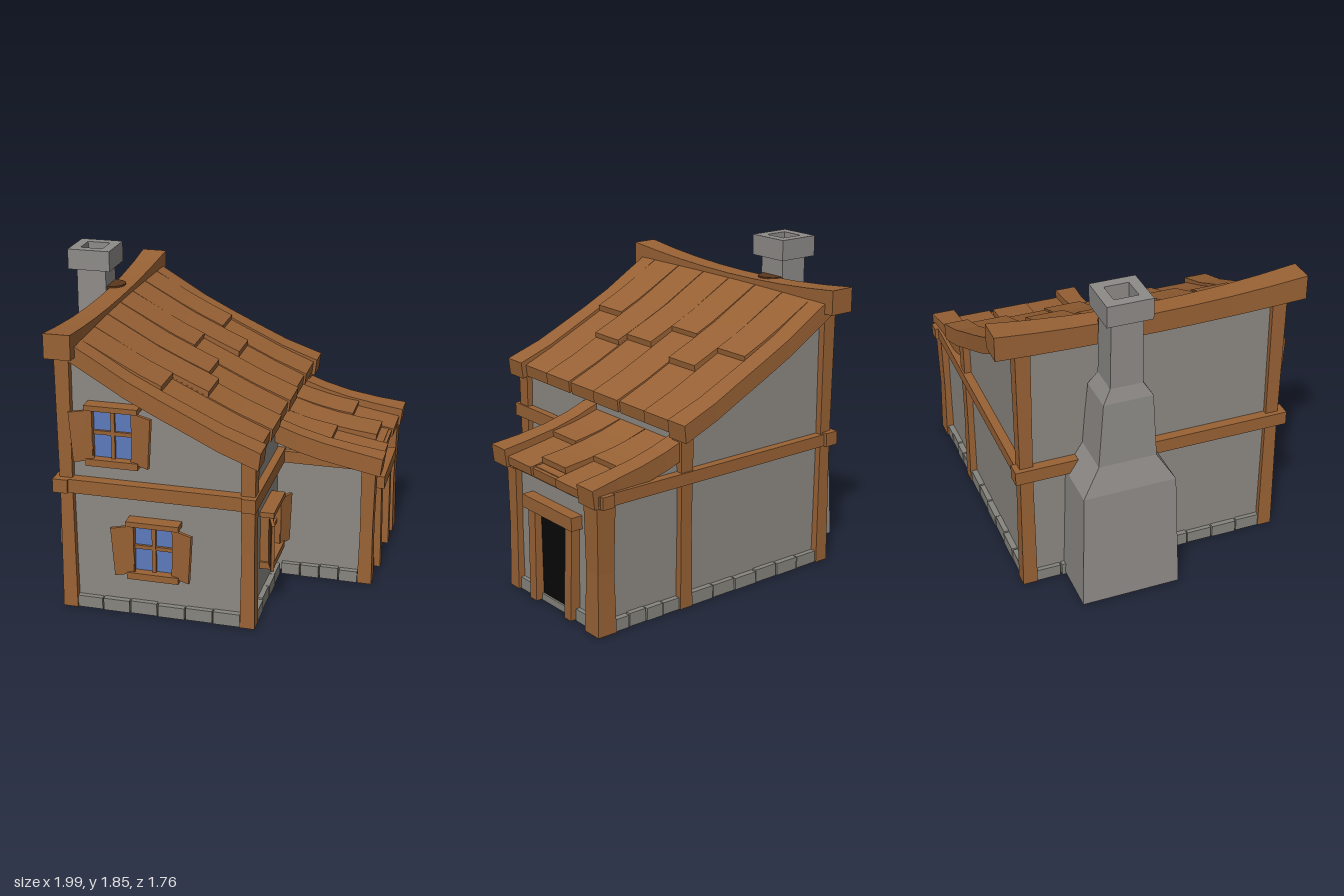
import * as THREE from 'three';

const mat = (name, color) => {
  const m = new THREE.MeshStandardMaterial({ color, flatShading: true, side: THREE.DoubleSide });
  m.name = name;
  return m;
};

export function createModel() {
  const wood = mat('wood', 0x996235), darkWood = mat('dark wood', 0x5a371b), plaster = mat('plaster', 0x8d8882);
  const chimneyStone = mat('chimney stone', 0x8e8b88), stone = mat('foundation stone', 0x86847e);
  const glass = mat('window glass', 0x5c7bbc), dark = mat('dark opening', 0x080808);
  const house = new THREE.Group();
  house.name = 'cottage';

  const add = (name, geometry, material, parent = house) => {
    const mesh = new THREE.Mesh(geometry, material);
    mesh.name = name;
    parent.add(mesh);
    return mesh;
  };
  // box given by its limits
  const box = (name, [x0, x1], [y0, y1], [z0, z1], material, parent) => {
    const g = new THREE.BoxGeometry(x1 - x0, y1 - y0, z1 - z0);
    g.translate((x0 + x1) / 2, (y0 + y1) / 2, (z0 + z1) / 2);
    return add(name, g, material, parent);
  };
  // four-cornered cross-sections joined into a closed solid
  const loft = (rings) => {
    const idx = [], t = (rings.length - 1) * 4;
    for (let s = 0; s < t; s += 4) {
      for (let i = 0; i < 4; i++) {
        const a = s + i, b = s + (i + 1) % 4;
        idx.push(a, b, b + 4, a, b + 4, a + 4);
      }
    }
    idx.push(0, 2, 1, 0, 3, 2, t, t + 1, t + 2, t, t + 2, t + 3);
    const g = new THREE.BufferGeometry();
    g.setAttribute('position', new THREE.Float32BufferAttribute(rings.flat(2), 3));
    g.setIndex(idx);
    const flat = g.toNonIndexed();
    flat.computeVertexNormals();
    return flat;
  };
  // upright solid from level sections [y, x0, x1, z0, z1]
  const upright = (sections) => loft(sections.map(([y, x0, x1, z0, z1]) => [[x0, y, z1], [x1, y, z1], [x1, y, z0], [x0, y, z0]]));
  // curved board: top profile in x/y, thickness down, span in z, optional flare of either edge at the eave
  const board = (name, pts, thick, z0, z1, material, parent, flare0 = 0, flare1 = 0) => add(name, loft(pts.map(([x, y], i) => {
    const t = (i / (pts.length - 1)) ** 4, a = z0 - flare0 * t, b = z1 + flare1 * t, xu = x - thick * 0.12;
    return [[xu, y - thick, b], [xu, y - thick, a], [x, y, a], [x, y, b]];
  })), material, parent);
  const polygon = (pts) => new THREE.Shape(pts.map(([x, y]) => new THREE.Vector2(x, y)));

  // plaster walls
  const mainTop = [[-0.62, 1.61], [-0.45, 1.51], [-0.3, 1.42], [-0.12, 1.33], [0.05, 1.25], [0.22, 1.17], [0.44, 1.09]];
  const porchTop = [[0.36, 0.985], [0.5, 0.935], [0.65, 0.895], [0.82, 0.865], [0.99, 0.84]];
  const wall = (name, pts, z) => add(name, new THREE.ShapeGeometry(polygon(pts)), plaster).position.set(0, 0, z);
  const gable = [[-0.68, 0.02], [0.36, 0.02], [0.36, 1.05], [0.22, 1.11], [0.05, 1.19], [-0.12, 1.27], [-0.3, 1.36], [-0.45, 1.45], [-0.62, 1.55], [-0.68, 1.57]];
  const lowGable = [[0.36, 0.02], [0.9, 0.02], [0.9, 0.78], [0.65, 0.82], [0.36, 0.91]];
  wall('frontGable', gable, 0.73);
  wall('backGable', gable, -0.73);
  wall('porchFrontWall', lowGable, 0.05);
  wall('porchBackWall', lowGable, -0.73);
  const sideWall = (name, x, h, z0, z1) => {
    const g = new THREE.PlaneGeometry(z1 - z0, h - 0.02).rotateY(x < 0 ? -Math.PI / 2 : Math.PI / 2);
    g.translate(x, (h + 0.02) / 2, (z0 + z1) / 2);
    add(name, g, plaster);
  };
  sideWall('mainLeftWall', -0.68, 1.57, -0.73, 0.73);
  sideWall('mainRightWall', 0.365, 1.05, -0.73, 0.73);
  sideWall('porchRightWall', 0.9, 0.78, -0.73, 0.05);

  // timber posts, slightly waisted
  const post = (x, z, h, w = 0.042) => {
    const s = [[0.01, w], [h * 0.45, w * 0.87], [h, w]].map(([y, r]) => [y, x - r, x + r, z - r, z + r]);
    add('cornerPost', upright(s), wood);
  };
  for (const z of [0.73, -0.73]) {
    post(-0.67, z, 1.56);
    post(0.36, z, 1.05);
  }
  post(0.9, 0.045, 0.8);
  post(0.9, -0.715, 0.8, 0.06);

  // timber beams
  box('frontBeam', [-0.735, 0.4], [0.73, 0.81], [0.71, 0.795], wood);
  box('backBeam', [-0.735, 0.95], [0.73, 0.8], [-0.78, -0.7], wood);
  box('leftBeam', [-0.735, -0.65], [0.73, 0.81], [-0.8, 0.81], wood);
  box('rightBeam', [0.33, 0.41], [0.73, 0.81], [0.05, 0.81], wood);
  box('porchFrontBeam', [0.36, 0.95], [0.73, 0.8], [0.01, 0.085], wood);
  box('porchRightBeam', [0.865, 0.94], [0.73, 0.8], [-0.8, 0.1], wood);

  // foundation stones in rows along x or z
  const stones = (alongX, from, to, across, n) => {
    const step = (to - from) / n;
    for (let i = 0; i < n; i++) {
      const run = [from + i * step + 0.004, from + (i + 1) * step - 0.004];
      const out = 0.035 + (i % 2) * 0.004;
      const side = [across - out, across + out];
      box('foundationStone', alongX ? run : side, [0.008, 0.078 + (i % 3) * 0.003], alongX ? side : run, stone);
    }
  };
  stones(true, -0.64, 0.32, 0.725, 6);
  stones(true, -0.64, 0.32, -0.725, 6);
  stones(true, 0.4, 0.86, 0.045, 4);
  stones(true, 0.4, 0.86, -0.725, 4);
  stones(false, -0.7, 0.7, -0.67, 9);
  stones(false, 0.08, 0.7, 0.36, 4);
  stones(false, -0.66, -0.52, 0.89, 1);
  stones(false, -0.13, 0.01, 0.89, 1);

  // roof planks: lower plank plus an overlapping raised upper plank in each column
  const heightAt = (pts, x) => {
    let i = 1;
    while (i < pts.length - 1 && pts[i][0] < x) i++;
    const [a, b] = [pts[i - 1], pts[i]];
    return a[1] + (b[1] - a[1]) * (x - a[0]) / (b[0] - a[0]);
  };
  const planks = (name, profile, z0, z1, splits, drop, thick) => {
    const group = new THREE.Group();
    group.name = name;
    house.add(group);
    const w = (z1 - z0) / splits.length;
    // dark lining seen in the joints
    board('roofLining', profile.map(([x, y]) => [x - 0.04, y - drop - thick * 0.25]), 0.008, z0, z1, dark, group);
    splits.forEach((split, i) => {
      const a = z0 + i * w, end = (i % 2) * 0.012;
      const low = profile.map(([x, y], k) => [k === profile.length - 1 ? x - 0.02 - end : x, y - drop - (i % 2) * 0.006]);
      board('lowerPlank', low, thick, a + 0.002, a + w - 0.002, wood, group);
      const x0 = profile[0][0], up = [];
      for (let k = 0; k <= 4; k++) {
        const x = x0 + (split - x0) * k / 4;
        up.push([x, heightAt(profile, x) - drop + 0.008 + 0.024 * k / 4]);
      }
      board('upperPlank', up, 0.035, a + 0.003, a + w - 0.003, wood, group);
    });
  };
  planks('mainRoof', mainTop, -0.7, 0.69, [-0.1, 0.06, -0.15, 0.0, 0.06, -0.14], 0.012, 0.07);
  planks('porchRoof', porchTop, -0.64, 0.035, [0.72, 0.9, 0.67], 0.042, 0.05);

  // bargeboards, flared at the eaves
  board('frontBargeboard', mainTop, 0.1, 0.69, 0.81, wood, house, 0, 0.02);
  board('backBargeboard', mainTop, 0.1, -0.82, -0.7, wood, house, 0.022, 0);
  board('porchFrontBargeboard', porchTop, 0.105, 0.035, 0.14, wood, house, 0, 0.025);
  board('porchBackBargeboard', porchTop, 0.105, -0.755, -0.64, wood, house, 0.025, 0);

  // sagging ridge beam
  const ridge = new THREE.BoxGeometry(0.15, 0.14, 1.76, 1, 1, 8);
  const rp = ridge.attributes.position;
  for (let i = 0; i < rp.count; i++) {
    const t = (rp.getZ(i) / 0.88) ** 2;
    rp.setXYZ(i, rp.getX(i) * (0.8 + 0.2 * t) - 0.65, rp.getY(i) * (0.85 + 0.15 * t) + 1.558 + 0.042 * t, rp.getZ(i));
  }
  ridge.computeVertexNormals();
  add('ridgeBeam', ridge, wood);

  // chimney and its collar at the ridge
  add('chimneyStack', upright([
    [0.02, -1, -0.66, -0.52, 0.05], [0.72, -0.97, -0.66, -0.5, 0.03], [0.88, -0.93, -0.67, -0.4, -0.07],
    [1.26, -0.92, -0.69, -0.37, -0.09], [1.34, -0.9, -0.72, -0.325, -0.14], [1.76, -0.9, -0.725, -0.32, -0.145]]), chimneyStone);
  const square = (r) => polygon([[-r, -r], [r, -r], [r, r], [-r, r]]);
  const capShape = square(0.127);
  capShape.holes.push(square(0.068));
  const cap = new THREE.ExtrudeGeometry(capShape, { depth: 0.12, bevelEnabled: false });
  cap.rotateX(-Math.PI / 2).translate(-0.813, 1.735, -0.232);
  add('chimneyCap', cap, chimneyStone);
  box('flueOpening', [-0.881, -0.745], [1.762, 1.768], [-0.3, -0.164], dark);
  add('chimneyCollar', new THREE.CylinderGeometry(0.078, 0.078, 0.13, 12).translate(-0.712, 1.565, -0.24), darkWood);

  // windows with angled shutters, built facing +z on the wall plane
  const makeWindow = (x, y, z, turn, backMaterial) => {
    const w = new THREE.Group();
    w.name = 'window';
    box('windowBacking', [-0.12, 0.12], [-0.15, 0.15], [-0.02, -0.012], dark, w);
    box('windowGlass', [-0.12, 0.12], [-0.15, 0.15], [0.02, 0.028], glass, w);
    box('windowSill', [-0.148, 0.148], [-0.175, -0.135], [0, 0.08], wood, w);
    box('windowHeader', [-0.15, 0.15], [0.145, 0.175], [0, 0.08], wood, w);
    box('mullion', [-0.011, 0.011], [-0.14, 0.15], [0.02, 0.045], wood, w);
    box('glazingBar', [-0.12, 0.12], [0, 0.022], [0.02, 0.043], wood, w);
    for (const s of [-1, 1]) {
      box('windowJamb', s < 0 ? [-0.135, -0.11] : [0.11, 0.135], [-0.14, 0.15], [0, 0.065], wood, w);
      const shutter = new THREE.Group();
      shutter.name = 'shutter';
      box('shutterPanel', s < 0 ? [-0.115, 0] : [0, 0.115], [-0.145, 0.145], [0, 0.018], wood, shutter);
      box('shutterBack', s < 0 ? [-0.105, -0.01] : [0.01, 0.105], [-0.135, 0.135], [-0.003, 0], backMaterial, shutter);
      shutter.position.set(s * 0.118, 0, 0.045);
      shutter.rotation.set(0, -s * 0.35, -s * 0.07);
      w.add(shutter);
    }
    w.position.set(x, y, z);
    w.rotation.y = turn;
    house.add(w);
  };
  makeWindow(-0.39, 1.085, 0.73, 0, dark);
  makeWindow(-0.17, 0.425, 0.73, 0, dark);
  makeWindow(0.365, 0.425, 0.355, Math.PI / 2, darkWood);

  // doorway
  box('doorOpening', [0.902, 0.909], [0.05, 0.55], [-0.48, -0.18], dark);
  box('doorStep', [0.87, 0.92], [0.01, 0.05], [-0.48, -0.18], stone);
  add('doorPost', upright([[0.015, 0.89, 0.96, -0.2, -0.14], [0.55, 0.89, 0.95, -0.19, -0.125]]), wood);
  add('doorPost', upright([[0.015, 0.89, 0.96, -0.525, -0.465], [0.55, 0.89, 0.95, -0.535, -0.475]]), wood);
  box('doorLintel', [0.89, 0.97], [0.545, 0.62], [-0.56, -0.1], wood);

  return house;
}
